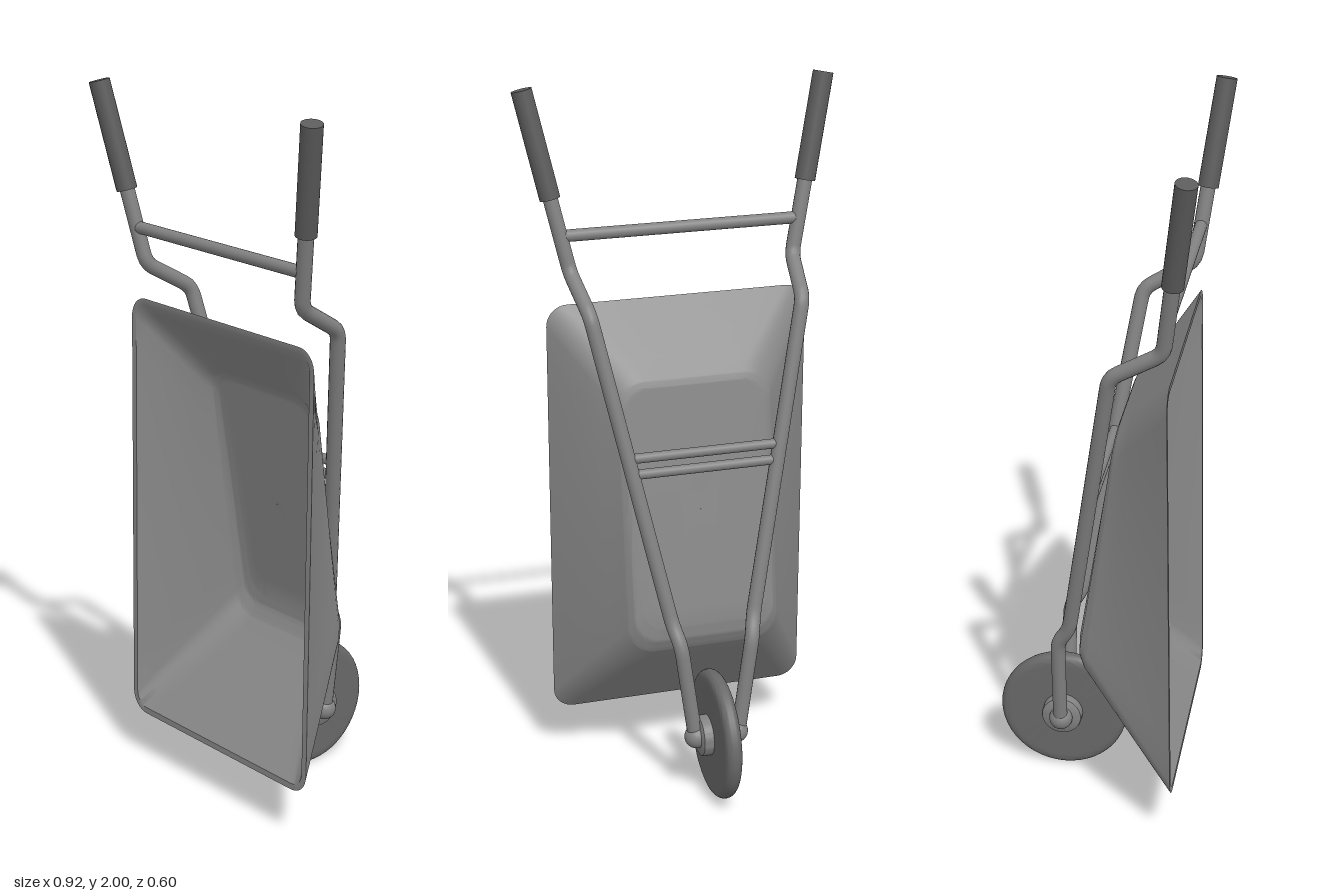
import * as THREE from 'three';
import { toCreasedNormals } from 'three/addons/utils/BufferGeometryUtils.js';

const steel = new THREE.MeshStandardMaterial({ color: 0x828282 });
const rubber = new THREE.MeshStandardMaterial({ color: 0x5c5c5c });
const tyreRubber = new THREE.MeshStandardMaterial({ color: 0x686868 });
const traySteel = new THREE.MeshStandardMaterial({ color: 0x888888, side: THREE.DoubleSide });
const V = (x, y, z) => new THREE.Vector3(x, y, z);

function add(parent, name, geometry, material = steel) {
  const mesh = new THREE.Mesh(geometry, material);
  mesh.name = name;
  parent.add(mesh);
  return mesh;
}

// Straight round bar between two points
function bar(parent, name, a, b, radius, material) {
  const geometry = new THREE.CylinderGeometry(radius, radius, a.distanceTo(b), 20);
  const mesh = add(parent, name, geometry, material);
  mesh.position.copy(a).lerp(b, 0.5);
  mesh.quaternion.setFromUnitVectors(V(0, 1, 0), b.clone().sub(a).normalize());
}

// Pipe along straight runs joined by rounded bends
function bentPipe(points, radius, bend) {
  const path = new THREE.CurvePath();
  let from = points[0];
  for (let i = 1; i < points.length - 1; i++) {
    const p = points[i];
    const toward = (q) => p.clone().add(q.clone().sub(p).setLength(bend));
    const start = toward(points[i - 1]), end = toward(points[i + 1]);
    path.add(new THREE.LineCurve3(from, start));
    path.add(new THREE.QuadraticBezierCurve3(start, p, end));
    from = end;
  }
  path.add(new THREE.LineCurve3(from, points[points.length - 1]));
  return new THREE.TubeGeometry(path, 120, radius, 16, false);
}

// Rounded rectangle lying on a plane tilted from (yLow, zLow) to (yHigh, zHigh)
function trayLoop([yLow, zLow, yHigh, zHigh, halfWidth, r]) {
  const outline = [], steps = 8, edgeSteps = 10;
  const corners = [[1, 0], [1, 1], [-1, 1], [-1, 0]];
  corners.forEach(([sx, top], c) => {
    for (let i = 0; i <= steps; i++) {
      const a = (c - 1 + i / steps) * Math.PI / 2;
      outline.push(new THREE.Vector2(sx * (halfWidth - r) + r * Math.cos(a),
        (top ? yHigh - r : yLow + r) + r * Math.sin(a)));
    }
  });
  const loop = [];
  outline.forEach((p, i) => {
    const next = outline[(i + 1) % outline.length];
    const parts = i % (steps + 1) === steps ? edgeSteps : 1;
    for (let k = 0; k < parts; k++) {
      const { x, y } = p.clone().lerp(next, k / parts);
      loop.push(V(x, y, zLow + (zHigh - zLow) * (y - yLow) / (yHigh - yLow)));
    }
  });
  return loop;
}

// Adds evenly spaced sections between the given ones
function subdivide(sections, parts) {
  const rows = [sections[0]];
  for (let i = 1; i < sections.length; i++) {
    for (let k = 1; k <= parts; k++) {
      rows.push(sections[i].map((v, m) => THREE.MathUtils.lerp(sections[i - 1][m], v, k / parts)));
    }
  }
  return rows;
}

// Open tray: one skin from inner floor, over the rim, to outer floor
function trayGeometry() {
  const outer = [
    [0.15, 0.25, 1.40, 0.225, 0.38, 0.06],
    [0.395, 0.005, 1.23, 0.09, 0.237, 0.08],
    [0.43, -0.025, 1.207, 0.071, 0.22, 0.075],
    [0.465, -0.041, 1.19, 0.064, 0.205, 0.07],
    [0.505, -0.043, 1.165, 0.06, 0.18, 0.06],
    [0.834, 0.0083, 0.836, 0.0087, 0.001, 0.0005],
  ];
  const inner = outer.map(([yl, zl, yh, zh, w, r], i) => {
    if (i === 5) return [yl, zl + 0.012, yh, zh + 0.012, w, r];
    const t = i === 0 ? 0.018 : 0.012, dz = i === 0 ? 0 : 0.012;
    return [yl + t, zl + dz, yh - t, zh + dz, w - t, r - t];
  });
  const loops = [...subdivide(inner, 6).reverse(), ...subdivide(outer, 6)].map(trayLoop);
  const n = loops[0].length, index = [];
  for (let k = 0; k < loops.length - 1; k++) {
    for (let j = 0; j < n; j++) {
      const a = k * n + j, b = k * n + (j + 1) % n;
      index.push(a, a + n, b + n, a, b + n, b);
    }
  }
  const geometry = new THREE.BufferGeometry().setFromPoints(loops.flat());
  geometry.setIndex(index);
  return toCreasedNormals(geometry, 0.7);
}

// Turned part around the x axis
function turned(profile) {
  const points = profile.map(([r, x]) => new THREE.Vector2(r, x));
  const geometry = new THREE.LatheGeometry(points, 48);
  return toCreasedNormals(geometry.rotateZ(-Math.PI / 2), 0.6);
}

export function createModel() {
  const model = new THREE.Group();
  model.name = 'wheelbarrow';

  const tray = add(model, 'tray', trayGeometry(), traySteel);
  tray.position.x = 0.01;

  // Wheel: solid disc with a rounded tread, and a hub
  const wheel = new THREE.Group();
  wheel.name = 'wheel';
  wheel.position.set(0.002, 0.187, -0.115);
  model.add(wheel);
  const tread = [[0, -0.024], [0.155, -0.024]];
  for (let i = 0; i <= 12; i++) {
    const a = (i / 12 - 0.5) * Math.PI;
    tread.push([0.163 + 0.024 * Math.cos(a), 0.024 * Math.sin(a)]);
  }
  tread.push([0.155, 0.024], [0, 0.024]);
  add(wheel, 'tyre', turned(tread), tyreRubber);
  add(wheel, 'hub', turned([[0, -0.054], [0.052, -0.054], [0.057, -0.051], [0.059, -0.046],
    [0.059, 0.046], [0.057, 0.051], [0.052, 0.054], [0, 0.054]]));
  bar(wheel, 'axle', V(-0.07, 0, 0), V(0.07, 0, 0), 0.02);

  // Frame rails with grips, mirrored left and right
  for (const [side, s] of [['left', 1], ['right', -1]]) {
    const rail = [
      V(s * 0.065, 0.187, -0.115), V(s * 0.105, 0.475, -0.113), V(s * 0.12, 0.53, -0.077),
      V(s * 0.305, 1.41, 0.066), V(s * 0.323, 1.495, 0.209), V(s * 0.43, 1.99, 0.273),
    ];
    add(model, side + 'Rail', bentPipe(rail, 0.021, 0.028));
    bar(model, side + 'Grip', V(s * 0.368, 1.70, 0.236), V(s * 0.431, 1.995, 0.274), 0.029, rubber);
    const cap = add(wheel, side + 'AxleCap', new THREE.SphereGeometry(0.034, 24, 16));
    cap.position.x = s * 0.06;
  }

  // Bars joining the rails
  bar(model, 'handleBar', V(-0.343, 1.597, 0.222), V(0.343, 1.597, 0.222), 0.017);
  bar(model, 'upperBrace', V(-0.22, 1.01, 0.001), V(0.22, 1.01, 0.001), 0.014);
  bar(model, 'lowerBrace', V(-0.212, 0.965, -0.006), V(0.212, 0.965, -0.006), 0.014);

  return model;
}
